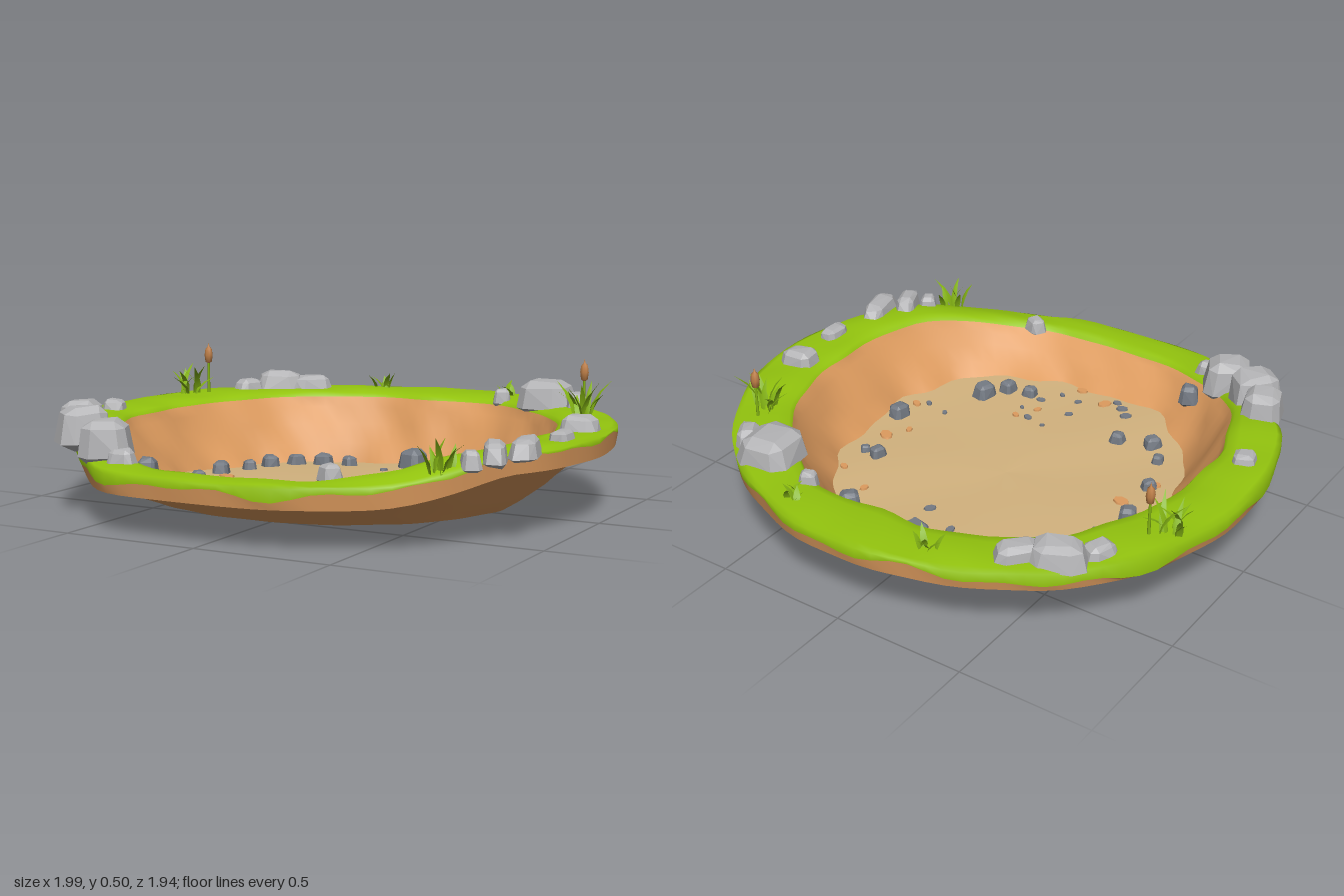
import * as THREE from 'three';
import { ConvexGeometry } from 'three/addons/geometries/ConvexGeometry.js';

const N = 96;
const mat = (name, color, side = THREE.FrontSide) => {
  const m = new THREE.MeshStandardMaterial({ color, side });
  m.name = name;
  return m;
};

// Outline radii every 22.5 degrees, from +x towards +z
const OUTER = [1, 0.99, 1, 0.97, 0.97, 1.02, 0.97, 1.01, 1, 1, 1, 0.98, 0.98, 0.99, 1, 1];
const INNER = [0.79, 0.83, 0.86, 0.86, 0.83, 0.87, 0.86, 0.81, 0.78, 0.77, 0.78, 0.77, 0.74, 0.79, 0.79, 0.8];
const lerp = THREE.MathUtils.lerp;

function outline(table, a) {
  const t = (a / (Math.PI * 2)) * 16, i = Math.floor(t), f = t - i;
  return lerp(table[i % 16], table[(i + 1) % 16], f * f * (3 - 2 * f));
}
const wave = (a, k) => (Math.sin(5 * a + k) + Math.sin(11 * a + 2.3 * k) + Math.sin(19 * a + 4.1 * k)) / 3;
const rimY = (z) => 0.302 - 0.09 * THREE.MathUtils.smoothstep(z, 0.42, 0.9);
const baseY = (z) => 0.02 + 0.03 * z;
const floorY = (x, z) => baseY(z) + 0.03 + 0.006 * Math.sin(9 * x + 1) * Math.sin(8 * z);

// Closed ring of points; fn(angle) returns a radius and a height rule
function ring(fn) {
  return Array.from({ length: N }, (_, i) => {
    const a = (i / N) * Math.PI * 2;
    const [r, y] = fn(a);
    const x = Math.cos(a) * r, z = Math.sin(a) * r;
    return [x, typeof y === 'function' ? y(x, z) : y, z];
  });
}

// Smooth skin over a run of rings
function skin(name, rings, material) {
  const index = [];
  for (let j = 0; j < rings.length - 1; j++) {
    for (let i = 0; i < N; i++) {
      const a = j * N + i, b = j * N + ((i + 1) % N);
      index.push(a, b, a + N, b, b + N, a + N);
    }
  }
  const g = new THREE.BufferGeometry();
  g.setAttribute('position', new THREE.Float32BufferAttribute(rings.flat(2), 3));
  g.setIndex(index);
  g.computeVertexNormals();
  const mesh = new THREE.Mesh(g, material);
  mesh.name = name;
  return mesh;
}

export function createModel() {
  const model = new THREE.Group();
  const grass = mat('grass green', 0x93c40e);
  const earth = mat('orange earth', 0xdd9b5e);
  const sand = mat('sand', 0xd2b27e);
  const paleStone = mat('pale stone', 0xb4b4b6);
  const darkStone = mat('dark stone', 0x747a83);
  const leaf = mat('leaf green', 0x84b414, THREE.DoubleSide);
  const reed = mat('reed brown', 0xc08048);

  let seed = 7;
  const rand = () => (seed = (seed * 16807) % 2147483647) / 2147483647;
  const add = (name, geometry, material, parent = model) => {
    const m = new THREE.Mesh(geometry, material);
    m.name = name;
    parent.add(m);
    return m;
  };

  // Radii and heights shared by neighbouring skins
  const O = (a) => outline(OUTER, a) + 0.008 * wave(a, 2) - 0.006;
  const I = (a) => outline(INNER, a) + 0.01 * wave(a, 1);
  const S = (a) => outline(INNER, a) * (0.8 + 0.035 * wave(a, 5));
  const top = (a, r) => rimY(Math.sin(a) * r);
  const B = (a) => 0.65 + 0.04 * Math.sin(a) + 0.01 * wave(a, 3);
  const drape = (a) => 0.075 * THREE.MathUtils.clamp(0.45 - 0.3 * Math.cos(a) + 0.35 * wave(a, 8), 0.12, 0.95);

  // Basin floor and inner wall
  const floorRings = [0, 0.3, 0.6, 0.85, 1].map((t) => ring((a) => [S(a) * t, floorY]));
  model.add(skin('sandFloor', floorRings, sand));
  const lip = ring((a) => [I(a) * 0.985, top(a, I(a)) - 0.022]);
  const wall = (t, k, bump) => ring((a) => {
    const r = lerp(S(a), I(a) * 0.985, t) + bump * wave(a, k);
    return [r, lerp(floorY(0, Math.sin(a) * r), top(a, I(a)) - 0.022, Math.pow(t, 1.1))];
  });
  model.add(skin('innerWall', [floorRings[4], wall(0.3, 9, 0.012), wall(0.6, 4, 0.018), wall(0.85, 6, 0.012), lip], earth));

  // Grass collar with a ragged drape over the outer edge
  const bank = (t, d) => ring((a) => {
    const r = lerp(I(a), O(a), t);
    return [r, top(a, r) + d + 0.005 * wave(a, t * 9)];
  });
  const drapeEdge = ring((a) => [O(a), top(a, O(a)) - drape(a)]);
  const sideFoot = ring((a) => [O(a) * 0.992, top(a, O(a)) - 0.076]);
  const underEdge = ring((a) => [O(a) * (0.91 + 0.03 * Math.sin(a)), top(a, O(a)) - 0.078]);
  model.add(skin('grassBank', [lip, bank(0, -0.008), bank(0.2, 0.002), bank(0.55, 0.003), bank(0.9, 0.001), bank(1, -0.006), drapeEdge], grass));
  model.add(skin('rimSide', [drapeEdge, sideFoot], earth));
  model.add(skin('grassUnderside', [sideFoot, underEdge], grass));

  // Outer slope and underside
  const slope = (t, k) => ring((a) => {
    const r = lerp(B(a), O(a) * (0.91 + 0.03 * Math.sin(a)), t) + 0.012 * wave(a, k);
    return [r, lerp(baseY(Math.sin(a) * B(a)), top(a, O(a)) - 0.078, Math.pow(t, 1.12))];
  });
  const foot = ring((a) => [B(a), (x, z) => Math.max(0, baseY(z))]);
  model.add(skin('outerSlope', [underEdge, slope(0.75, 3), slope(0.45, 7), slope(0.18, 2), foot], earth));
  model.add(skin('underside', [foot, ring(() => [0, 0.02])], sand));

  // Chunky stones: hull of a jittered, bevelled block
  function stone(name, x, y, z, sx, sy, sz, turn, material) {
    const pts = [];
    for (const i of [-1, 1]) for (const j of [-1, 1]) for (const k of [-1, 1]) {
      const w = j > 0 ? 0.8 : 1, q = () => 0.9 + 0.2 * rand();
      pts.push(new THREE.Vector3(i * w * q(), j * 0.65, k * w * 0.6 * q()));
      pts.push(new THREE.Vector3(i * w * 0.6 * q(), j * 0.65 * q(), k * w * q()));
      pts.push(new THREE.Vector3(i * w * 0.55 * q(), j * q(), k * w * 0.55 * q()));
    }
    const m = add(name, new ConvexGeometry(pts), material);
    m.position.set(x, y, z);
    m.scale.set(sx, sy, sz);
    m.rotation.y = turn;
  }

  // Bank stones: x, z, half width, half depth, height above the bank, turn
  [[-0.76, 0.56, 0.075, 0.08, 0.1, 0.4], [-0.67, 0.67, 0.09, 0.085, 0.13, 0.9], [-0.52, 0.75, 0.09, 0.09, 0.12, 0.5],
    [-0.4, 0.82, 0.05, 0.035, 0.05, 0.1], [-0.87, 0.21, 0.045, 0.045, 0.035, 0.2], [-0.65, -0.65, 0.095, 0.07, 0.07, 0.4],
    [-0.53, -0.71, 0.09, 0.055, 0.05, 0.8], [-0.74, -0.55, 0.045, 0.06, 0.04, -0.4], [0.52, -0.69, 0.105, 0.115, 0.09, 0.1],
    [0.66, -0.66, 0.045, 0.065, 0.055, 0.6], [0.31, -0.75, 0.035, 0.03, 0.04, 0.3], [0.88, -0.11, 0.07, 0.06, 0.05, 0.1],
    [0.91, 0.13, 0.038, 0.065, 0.035, 0], [0.89, 0.4, 0.045, 0.11, 0.045, 0.25], [0.83, 0.51, 0.04, 0.085, 0.05, 0.4],
    [0.78, 0.58, 0.035, 0.04, 0.04, 0.5], [0.36, 0.75, 0.042, 0.035, 0.035, -0.5],
  ].forEach(([x, z, w, d, h, t]) => {
    const half = h / 2 + 0.015;
    stone('bankStone', x, rimY(z) + h - half, z, w, half, d, t, paleStone);
  });

  // Stones resting inside the basin: x, z, radius
  [[0.03, -0.53, 0.058], [-0.23, -0.48, 0.03], [-0.32, -0.43, 0.037], [-0.41, -0.37, 0.034], [-0.47, -0.27, 0.036],
    [-0.5, -0.16, 0.03], [-0.53, 0, 0.037], [-0.5, 0.2, 0.028], [-0.44, 0.37, 0.024], [-0.37, 0.45, 0.033],
    [-0.24, 0.41, 0.03], [0.38, 0.41, 0.043], [0.32, 0.49, 0.034], [0.23, 0.51, 0.03],
    [0.58, 0.11, 0.04], [0.47, -0.17, 0.03], [0.53, -0.17, 0.02], [0.37, -0.47, 0.042],
  ].forEach(([x, z, r]) => stone('basinStone', x, floorY(x, z) + r * 0.4, z, r, r * 0.8, r * 0.9, rand() * 3, darkStone));
  stone('wallStone', -0.39, 0.18, 0.69, 0.038, 0.04, 0.036, 0.4, darkStone);

  // Flat pebbles and earth flecks on the floor: x, z, radius
  const fleck = (name, material) => ([x, z, r]) => {
    const m = add(name, new THREE.CylinderGeometry(r * 0.9, r, 0.008, 7), material);
    m.position.set(x, floorY(x, z) + 0.003, z);
    m.scale.z = 0.7;
    m.rotation.y = rand() * 6;
  };
  [[-0.18, 0.57, 0.025], [-0.14, 0.61, 0.025], [-0.1, 0.64, 0.02], [0.02, 0.47, 0.018], [0.04, 0.57, 0.016],
    [0.12, 0.58, 0.014], [0.17, 0.5, 0.02], [0.14, 0.36, 0.02], [0.2, 0.41, 0.012], [0.06, 0.34, 0.01],
    [-0.04, -0.41, 0.022], [0.1, -0.34, 0.025], [0.16, -0.5, 0.018], [0.44, 0.22, 0.015], [0.53, 0.24, 0.016],
  ].forEach(fleck('pebble', darkStone));
  [[0.53, -0.04, 0.035], [0.48, 0.04, 0.018], [-0.46, 0.07, 0.035], [-0.51, 0.22, 0.03], [0.25, -0.5, 0.025],
    [0.38, -0.37, 0.02], [0.53, -0.3, 0.02], [0.57, 0.21, 0.022], [-0.06, 0.61, 0.03], [0.07, 0.65, 0.025],
    [0.14, 0.43, 0.018], [0.19, 0.35, 0.018],
  ].forEach(fleck('earthFleck', earth));

  // Folded, curving blade rooted at the origin and leaning along +x
  function blade(height, lean, width) {
    const pos = [], index = [];
    [0, 0.35, 0.7, 1].forEach((t, i) => {
      const w = width * [0.6, 1, 0.65, 0.02][i], x = lean * t * t, y = height * (t - 0.12 * t * t * (lean / height));
      pos.push(x + w * 0.3, y, -w, x, y - w * 0.3, 0, x + w * 0.3, y, w);
      if (i) for (const k of [0, 1]) {
        const a = (i - 1) * 3 + k;
        index.push(a, a + 1, a + 3, a + 1, a + 4, a + 3);
      }
    });
    const g = new THREE.BufferGeometry();
    g.setAttribute('position', new THREE.Float32BufferAttribute(pos, 3));
    g.setIndex(index);
    g.computeVertexNormals();
    return g;
  }

  // Grass tufts: x, z, height, spread, blade count
  [[-0.88, -0.32, 0.13, 0.09, 11], [0.76, -0.45, 0.14, 0.09, 12], [-0.27, -0.84, 0.075, 0.06, 6],
    [0.28, -0.86, 0.075, 0.065, 6], [0.72, 0.66, 0.12, 0.08, 8]].forEach(([x, z, h, spread, count]) => {
    const tuft = new THREE.Group();
    tuft.name = 'grassTuft';
    tuft.position.set(x, rimY(z) - 0.005, z);
    for (let i = 0; i < count; i++) {
      const b = add('blade', blade(h * (0.6 + 0.45 * rand()), spread * (0.45 + 0.6 * rand()), 0.013), leaf, tuft);
      b.rotation.y = (i / count) * Math.PI * 2 + rand() * 0.5;
      b.position.set((rand() - 0.5) * spread * 0.8, 0, (rand() - 0.5) * spread * 0.8);
    }
    model.add(tuft);
  });

  // Reeds with a brown seed head
  [[-0.82, -0.37], [0.74, -0.52]].forEach(([x, z]) => {
    const plant = new THREE.Group();
    plant.name = 'reed';
    plant.position.set(x, rimY(z), z);
    add('stem', new THREE.CylinderGeometry(0.004, 0.006, 0.14, 6), leaf, plant).position.y = 0.07;
    const profile = [[0, 0], [0.013, 0.008], [0.017, 0.035], [0.013, 0.06], [0.004, 0.07], [0, 0.085]];
    add('seedHead', new THREE.LatheGeometry(profile.map((p) => new THREE.Vector2(...p)), 8), reed, plant).position.y = 0.118;
    model.add(plant);
  });

  return model;
}
